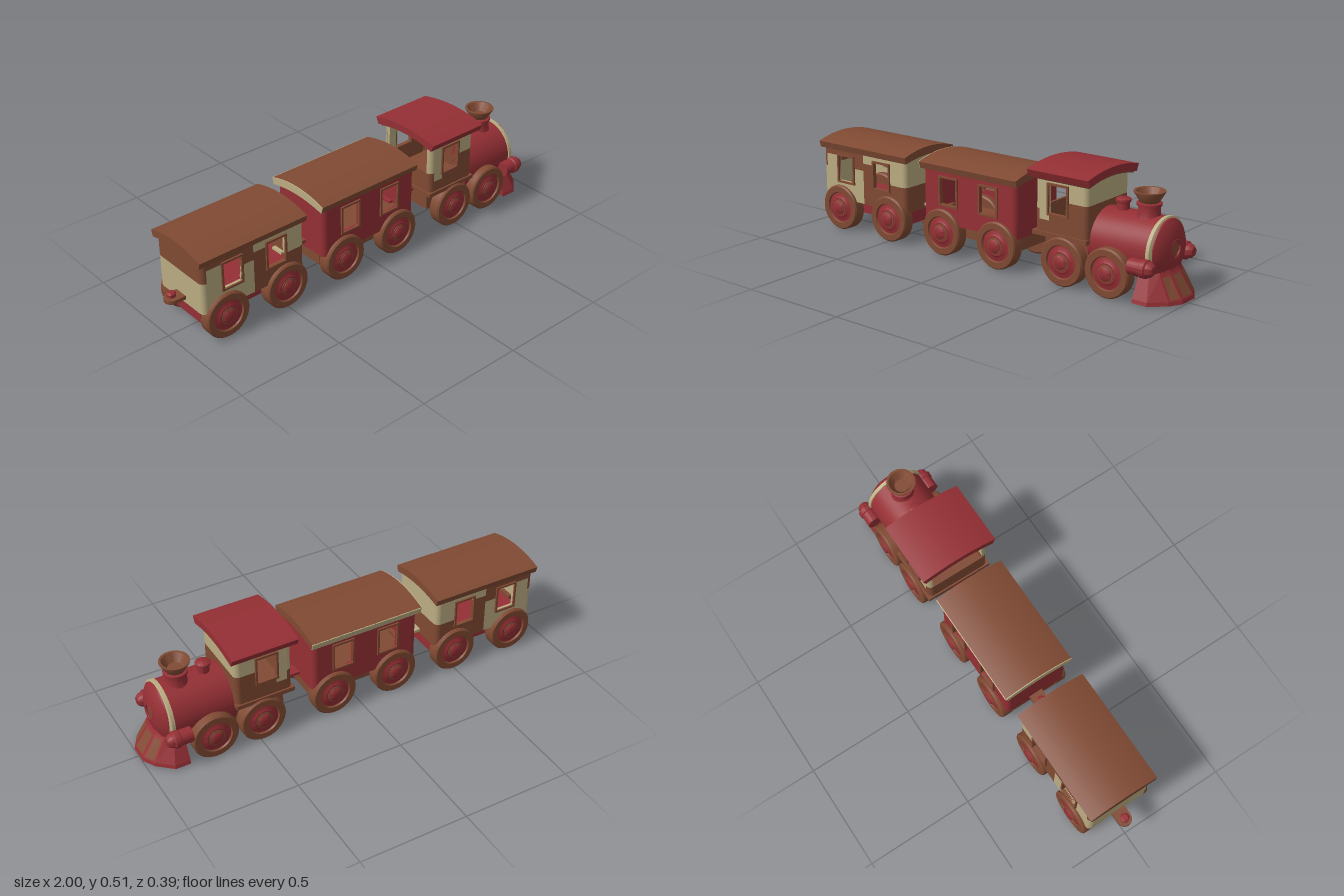
import * as THREE from 'three';
import { toCreasedNormals } from 'three/addons/utils/BufferGeometryUtils.js';

const mat = (name, color) => new THREE.MeshStandardMaterial({ name, color, side: THREE.DoubleSide });

export function createModel() {
  const red = mat('red paint', 0x942f34);
  const brown = mat('brown wood', 0x804a33);
  const cream = mat('cream paint', 0xbbac82);
  const model = new THREE.Group();
  model.name = 'toyTrain';

  const add = (parent, name, geo, material, x = 0, y = 0, z = 0) => {
    const m = new THREE.Mesh(geo, material);
    m.name = name;
    m.position.set(x, y, z);
    parent.add(m);
    return m;
  };
  const group = (name) => {
    const g = new THREE.Group();
    g.name = name;
    model.add(g);
    return g;
  };
  // Box given by its limits
  const box = (p, name, m, x0, x1, y0, y1, z0, z1) =>
    add(p, name, new THREE.BoxGeometry(x1 - x0, y1 - y0, z1 - z0), m, (x0 + x1) / 2, (y0 + y1) / 2, (z0 + z1) / 2);
  // Turned part from [radius, height] pairs
  const turned = (pts, seg = 40) =>
    toCreasedNormals(new THREE.LatheGeometry(pts.map(([r, h]) => new THREE.Vector2(r, h)), seg), 0.6);
  const turnedX = (pts) => turned(pts).rotateZ(-Math.PI / 2);

  // Arched roof slab running along x
  const roof = (p, name, m, x0, x1, w, edge, crest, wLow, low, lowCrest) => {
    const s = new THREE.Shape();
    s.moveTo(-wLow, low);
    s.quadraticCurveTo(0, 2 * lowCrest - low, wLow, low);
    s.lineTo(w, edge);
    s.quadraticCurveTo(0, 2 * crest - edge, -w, edge);
    const geo = new THREE.ExtrudeGeometry(s, { depth: x1 - x0, bevelEnabled: false, curveSegments: 20 });
    add(p, name, toCreasedNormals(geo.rotateY(Math.PI / 2), 0.5), m, x0);
  };

  const W = 0.155, R = 0.025, T = 0.012;
  // End wall with its two rounded corners, in horizontal colour bands [y0, y1, material, cornersOnly]
  const endWall = (p, name, x, dir, bands) => {
    for (const [y0, y1, m, cornersOnly] of bands) {
      if (!cornersOnly) box(p, name, m, Math.min(x, x - dir * T), Math.max(x, x - dir * T), y0, y1, -W + R, W - R);
      const starts = dir > 0 ? [0, 1] : [3, 2];
      [1, -1].forEach((side, i) => add(p, name + 'Corner',
        new THREE.CylinderGeometry(R, R, y1 - y0, 8, 1, true, starts[i] * Math.PI / 2, Math.PI / 2),
        m, x - dir * R, (y0 + y1) / 2, side * (W - R)));
    }
  };
  // Both side walls from rectangles [x0, x1, y0, y1, material]
  const sideWalls = (p, panels) => {
    for (const s of [1, -1]) for (const [x0, x1, y0, y1, m] of panels)
      box(p, 'sideWall', m, x0, x1, y0, y1, s > 0 ? W - T : -W, s > 0 ? W : T - W);
  };
  // Raised window surrounds on both sides
  const frames = (p, m, x0, x1, y0, y1) => {
    const t = 0.009;
    for (const s of [1, -1]) {
      const z0 = s > 0 ? W - T : -W - 0.008, z1 = z0 + T + 0.008;
      box(p, 'windowFrame', m, x0 - t, x0, y0 - t, y1 + t, z0, z1);
      box(p, 'windowFrame', m, x1, x1 + t, y0 - t, y1 + t, z0, z1);
      box(p, 'windowFrame', m, x0, x1, y0 - t, y0, z0, z1);
      box(p, 'windowFrame', m, x0, x1, y1, y1 + t, z0, z1);
    }
  };

  // Wheels, turned about z
  const tyre = turned([[0.02, 0.113], [0.1, 0.113], [0.107, 0.119], [0.107, 0.165], [0.101, 0.172], [0.074, 0.172], [0.07, 0.164]]).rotateX(Math.PI / 2);
  const disc = turned([[0.072, 0.164], [0.052, 0.166], [0.045, 0.171], [0.036, 0.171]]).rotateX(Math.PI / 2);
  const hubRing = turned([[0.038, 0.16], [0.038, 0.174], [0.03, 0.176]]).rotateX(Math.PI / 2);
  const hub = turned([[0.03, 0.16], [0.03, 0.179], [0.024, 0.183], [0, 0.184]]).rotateX(Math.PI / 2);
  const wheelPair = (p, x) => {
    for (const turn of [0, Math.PI]) {
      const w = new THREE.Group();
      w.name = 'wheel';
      w.position.set(x, 0.11, 0);
      w.rotation.y = turn;
      add(w, 'tyre', tyre, brown);
      add(w, 'wheelDisc', disc, red);
      add(w, 'hubRing', hubRing, brown);
      add(w, 'hub', hub, red);
      p.add(w);
    }
    add(p, 'axle', new THREE.CylinderGeometry(0.02, 0.02, 0.24, 16).rotateX(Math.PI / 2), brown, x, 0.11, 0);
  };

  // Rear hitch: round-ended plate with a pin
  const hitch = (p, x, xEnd, y, m) => {
    box(p, 'hitchBar', m, x, xEnd, y - 0.008, y + 0.008, -0.033, 0.033);
    add(p, 'hitchEnd', new THREE.CylinderGeometry(0.033, 0.033, 0.016, 24), m, x, y, 0);
    add(p, 'hitchPin', turned([[0.012, 0], [0.012, 0.013], [0.02, 0.015], [0.02, 0.028], [0.014, 0.034], [0, 0.035]], 24), red, x, y, 0);
  };

  // Passenger car; x is the rear end of the body
  const carriage = (name, x, o) => {
    const g = group(name), e = x + 0.525;
    box(g, 'chassis', o.base, x + 0.01, e - 0.01, 0.09, 0.165, -0.112, 0.112);
    box(g, 'floor', o.base, x + R, e - R, 0.15, 0.165, -W + T, W - T);
    sideWalls(g, o.panels.map(([a, b, c, d, m]) => [x + a, x + b, c, d, m]));
    endWall(g, 'rearWall', x, -1, o.rear);
    endWall(g, 'frontWall', e, 1, o.front);
    for (const wx of [0.105, 0.33]) frames(g, brown, x + wx, x + wx + 0.09, 0.24, 0.36);
    roof(g, 'roof', brown, x - 0.012, e + 0.008, 0.168, 0.416, 0.443, 0.16, 0.386, 0.405);
    for (const wx of [0.113, 0.424]) wheelPair(g, x + wx);
    hitch(g, x - 0.048, x + 0.03, 0.178, brown);
    box(g, 'drawbar', o.bar, e - 0.03, e + 0.06, 0.163, 0.176, -0.03, 0.03);
    return g;
  };

  // Split a wall column round a window
  const column = (a, b, low, high) => [[a, b, 0.15, 0.24, low], [a, b, 0.36, 0.4, high]];

  carriage('rearCar', -0.922, {
    base: red, bar: cream,
    panels: [
      [R, 0.105, 0.15, 0.36, cream], [R, 0.105, 0.36, 0.4, brown],
      ...column(0.105, 0.195, cream, brown),
      [0.195, 0.26, 0.15, 0.31, cream], [0.195, 0.26, 0.31, 0.4, brown],
      [0.26, 0.33, 0.15, 0.345, brown], [0.26, 0.33, 0.345, 0.4, cream],
      ...column(0.33, 0.42, brown, cream),
      [0.42, 0.5, 0.15, 0.27, brown], [0.42, 0.5, 0.27, 0.4, cream]],
    rear: [[0.15, 0.3, cream], [0.3, 0.405, brown]],
    front: [[0.15, 0.27, brown], [0.27, 0.405, cream]],
  });

  const middle = carriage('middleCar', -0.291, {
    base: brown, bar: red,
    panels: [[R, 0.105], [0.195, 0.33], [0.42, 0.5]].map(([a, b]) => [a, b, 0.15, 0.4, red])
      .concat(column(0.105, 0.195, red, red), column(0.33, 0.42, red, red)),
    rear: [[0.15, 0.405, red]],
    front: [[0.15, 0.405, red]],
  });
  // Cream trim on the rear and far edges of the middle roof
  roof(middle, 'roofEndTrim', cream, -0.307, -0.303, 0.168, 0.416, 0.443, 0.16, 0.386, 0.405);
  const trim = box(middle, 'roofSideTrim', cream, -0.303, 0.242, 0.386, 0.416, -0.168, -0.162);
  trim.rotation.x = -0.26;

  // Engine chassis and cab
  const engine = group('engine');
  box(engine, 'chassis', brown, 0.36, 0.86, 0.11, 0.205, -0.112, 0.112);
  box(engine, 'cabFloor', brown, 0.328, 0.603, 0.205, 0.224, -0.163, 0.163);
  hitch(engine, 0.303, 0.38, 0.188, red);
  for (const x of [0.483, 0.708]) wheelPair(engine, x);
  const split = 0.367;
  sideWalls(engine, [
    [0.36, 0.41, 0.22, 0.275, brown], [0.36, 0.41, 0.275, 0.468, cream],
    [0.41, 0.5, 0.22, 0.308, brown], [0.41, 0.5, 0.43, 0.468, cream],
    [0.5, 0.577, 0.22, split, brown], [0.5, 0.577, split, 0.468, cream]]);
  frames(engine, brown, 0.41, 0.5, 0.308, 0.43);
  endWall(engine, 'cabFront', 0.602, 1, [[0.22, split, brown], [split, 0.48, cream]]);
  endWall(engine, 'cabRear', 0.335, -1, [[0.22, 0.32, brown], [0.32, 0.465, cream, true]]);
  roof(engine, 'cabRoof', red, 0.315, 0.625, 0.187, 0.488, 0.512, 0.173, 0.456, 0.479);
  roof(engine, 'cabRoofLining', brown, 0.325, 0.615, 0.168, 0.457, 0.48, 0.163, 0.449, 0.47);

  // Boiler, band and nose
  add(engine, 'boiler', turnedX([[0, 0.59], [0.135, 0.59], [0.135, 0.88], [0, 0.88]]), red, 0, 0.207, 0);
  add(engine, 'boilerBand', turnedX([[0.13, 0.872], [0.141, 0.874], [0.141, 0.89], [0.126, 0.897]]), cream, 0, 0.206, 0);
  add(engine, 'nose', turnedX([[0.13, 0.885], [0.125, 0.9], [0.105, 0.915], [0.07, 0.928], [0.04, 0.934], [0.034, 0.934], [0.032, 0.924]]), red, 0, 0.215, 0)
    .position.y = 0.213;
  add(engine, 'noseCentre', turnedX([[0.034, 0.922], [0.032, 0.927], [0, 0.928]]), brown, 0, 0.22, 0);
  add(engine, 'noseRing', new THREE.TorusGeometry(0.036, 0.004, 8, 32).rotateY(Math.PI / 2), red, 0.931, 0.22, 0);

  // Steam dome and funnel
  add(engine, 'steamDome', turned([[0.028, 0.32], [0.026, 0.37], [0.033, 0.374], [0.033, 0.384], [0.026, 0.389], [0, 0.39]]), red, 0.675);
  add(engine, 'funnelBase', turned([[0.058, 0.32], [0.047, 0.345], [0.047, 0.378], [0.053, 0.38], [0.053, 0.391], [0.04, 0.394]]), red, 0.8);
  add(engine, 'funnel', turned([[0.038, 0.39], [0.042, 0.396], [0.066, 0.436], [0.066, 0.441], [0.056, 0.441], [0.032, 0.405], [0, 0.405]]), brown, 0.8);

  // Side cylinders beside the nose
  for (const s of [1, -1]) {
    add(engine, 'sideCylinder', turnedX([[0, 0.815], [0.034, 0.815], [0.034, 0.87], [0.039, 0.874], [0.039, 0.895], [0.032, 0.901], [0.029, 0.915], [0.018, 0.927], [0, 0.93]]), red, 0, 0.165, s * 0.155);
    box(engine, 'cylinderBracket', red, 0.825, 0.88, 0.145, 0.18, s > 0 ? 0.09 : -0.14, s > 0 ? 0.14 : -0.09);
  }

  // Cowcatcher: half plans [x, z] lofted from lip to top
  const rows = [
    [0.01, [[0.83, 0.162], [0.9, 0.162], [0.968, 0.102], [1.0, 0.045]]],
    [0.026, [[0.83, 0.158], [0.9, 0.158], [0.965, 0.1], [0.995, 0.044]]],
    [0.125, [[0.83, 0.112], [0.878, 0.112], [0.912, 0.086], [0.93, 0.037]]],
    [0.142, [[0.83, 0.104], [0.872, 0.104], [0.905, 0.08], [0.922, 0.036]]],
  ].map(([y, half]) => [...half, ...half.slice().reverse().map(([x, z]) => [x, -z])]
    .map(([x, z]) => new THREE.Vector3(x, y, z)));
  const quads = (list) => {
    const pts = list.flatMap(([a, b, c, d]) => [a, b, c, a, c, d]);
    const geo = new THREE.BufferGeometry().setFromPoints(pts);
    geo.computeVertexNormals();
    return geo;
  };
  const faces = [];
  for (let r = 0; r < 3; r++) for (let i = 0; i < 8; i++) {
    const j = (i + 1) % 8;
    faces.push([rows[r][i], rows[r][j], rows[r + 1][j], rows[r + 1][i]]);
  }
  const top = rows[3];
  for (let i = 0; i < 3; i++) faces.push([top[i], top[i + 1], top[6 - i], top[7 - i]]);
  add(engine, 'cowcatcher', quads(faces), red);

  // Inset-looking panels on its three front faces
  for (const i of [2, 3, 4]) {
    const [a, b, c, d] = [rows[1][i], rows[1][i + 1], rows[2][i + 1], rows[2][i]];
    const n = b.clone().sub(a).cross(d.clone().sub(a)).normalize().multiplyScalar(0.003);
    const at = (u, v) => a.clone().lerp(b, u).lerp(d.clone().lerp(c, u), v).add(n);
    add(engine, 'cowcatcherPanel', quads([[at(0.13, 0.06), at(0.87, 0.06), at(0.87, 0.9), at(0.13, 0.9)]]), brown);
  }
  return model;
}
